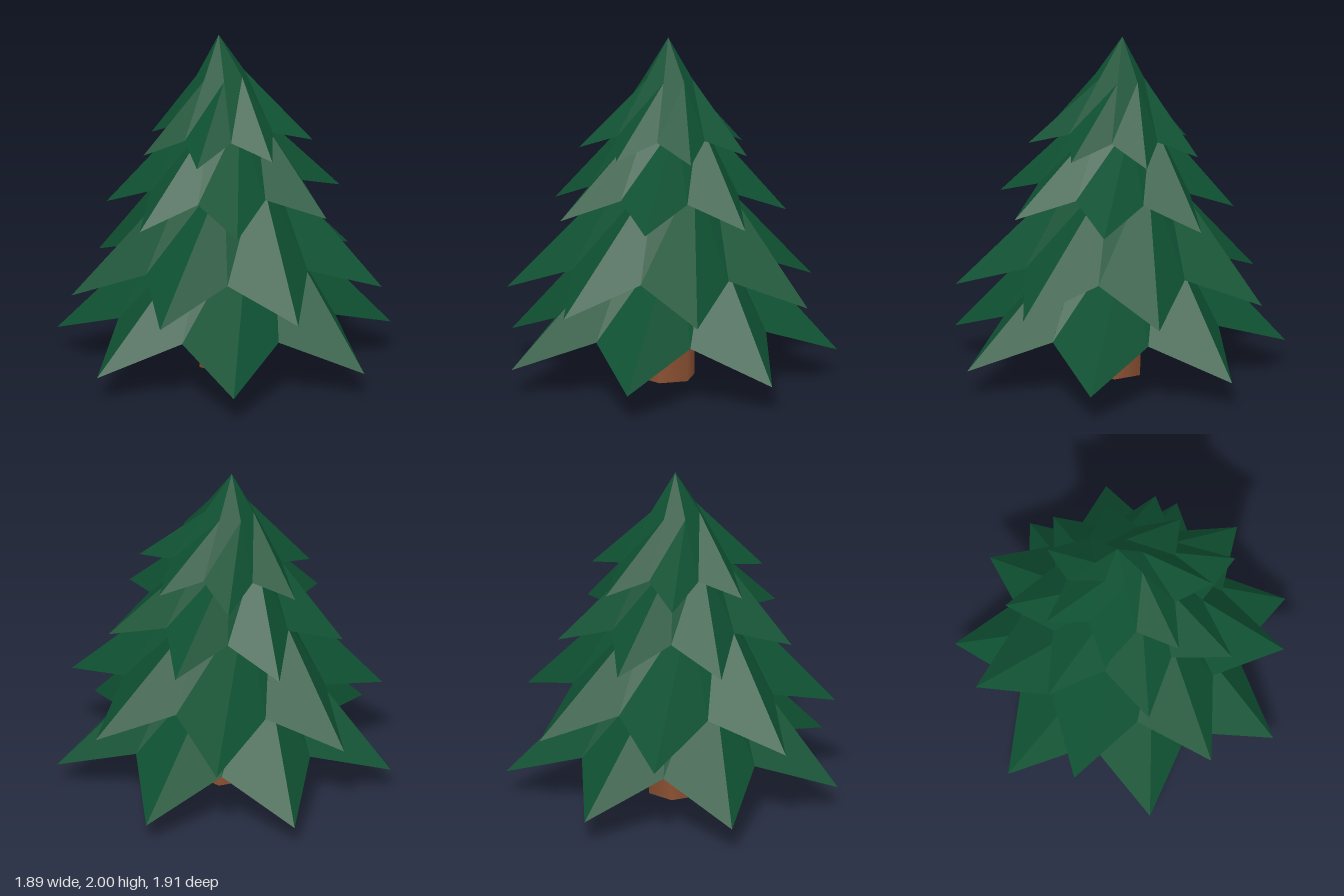
import * as THREE from 'three';

const POINTS = 7;
const STEP = (Math.PI * 2) / POINTS;

// Point on a ring around the tier's axis
const ringPoint = (angle, radius, y) => [Math.cos(angle) * radius, y, Math.sin(angle) * radius];

// Open star-shaped skirt with tip radius 1: a seven-sided cone whose facets flare into drooping tips
function skirtGeometry() {
  const positions = [];
  const apex = [0, 1.29, 0];
  for (let i = 0; i < POINTS; i++) {
    const a = i * STEP;
    const tip = ringPoint(a, 1, 0);
    const valleyA = ringPoint(a - STEP / 2, 0.65, 0.19);
    const valleyB = ringPoint(a + STEP / 2, 0.65, 0.19);
    const ridgeTop = ringPoint(a - STEP / 2, 0.283, 0.8115);
    positions.push(
      ...apex, ...valleyB, ...ridgeTop,
      ...ridgeTop, ...valleyB, ...tip,
      ...ridgeTop, ...tip, ...valleyA,
    );
  }
  const geometry = new THREE.BufferGeometry();
  geometry.setAttribute('position', new THREE.Float32BufferAttribute(positions, 3));
  geometry.computeVertexNormals();
  return geometry;
}

export function createModel() {
  const needles = new THREE.MeshStandardMaterial({ color: 0x0f5233, side: THREE.DoubleSide, flatShading: true });
  needles.name = 'needle green';
  const bark = new THREE.MeshStandardMaterial({ color: 0x8a5031 });
  bark.name = 'bark brown';

  const tree = new THREE.Group();
  tree.name = 'pineTree';

  // Six-sided trunk with smooth sides, corners on the x axis
  const trunkHeight = 1.45;
  const trunk = new THREE.Mesh(new THREE.CylinderGeometry(0.165, 0.165, trunkHeight, 6), bark);
  trunk.name = 'trunk';
  trunk.rotation.y = Math.PI / 6;
  trunk.position.set(-0.035, trunkHeight / 2, -0.012);
  tree.add(trunk);

  // Branch tiers, bottom to top: [tip radius, tip height, turn in degrees]
  const tiers = [
    [0.978, 0.155, -1.3],
    [0.91, 0.515, 25.7],
    [0.687, 0.99, -4.3],
    [0.5, 1.355, 20.5],
  ];
  const skirt = skirtGeometry();
  tiers.forEach(([radius, y, turn], i) => {
    const tier = new THREE.Mesh(skirt, needles);
    tier.name = `branchTier${i + 1}`;
    tier.scale.setScalar(radius);
    tier.position.set(-0.035, y, -0.007);
    // Each higher tier leans a little more to the side
    tier.rotation.set(0, -THREE.MathUtils.degToRad(turn), THREE.MathUtils.degToRad(1.5 * i), 'ZYX');
    tree.add(tier);
  });

  // Hexagon corners sit at 30 degree offsets by default, so square the trunk to the x axis
  trunk.updateMatrix();
  return tree;
}
